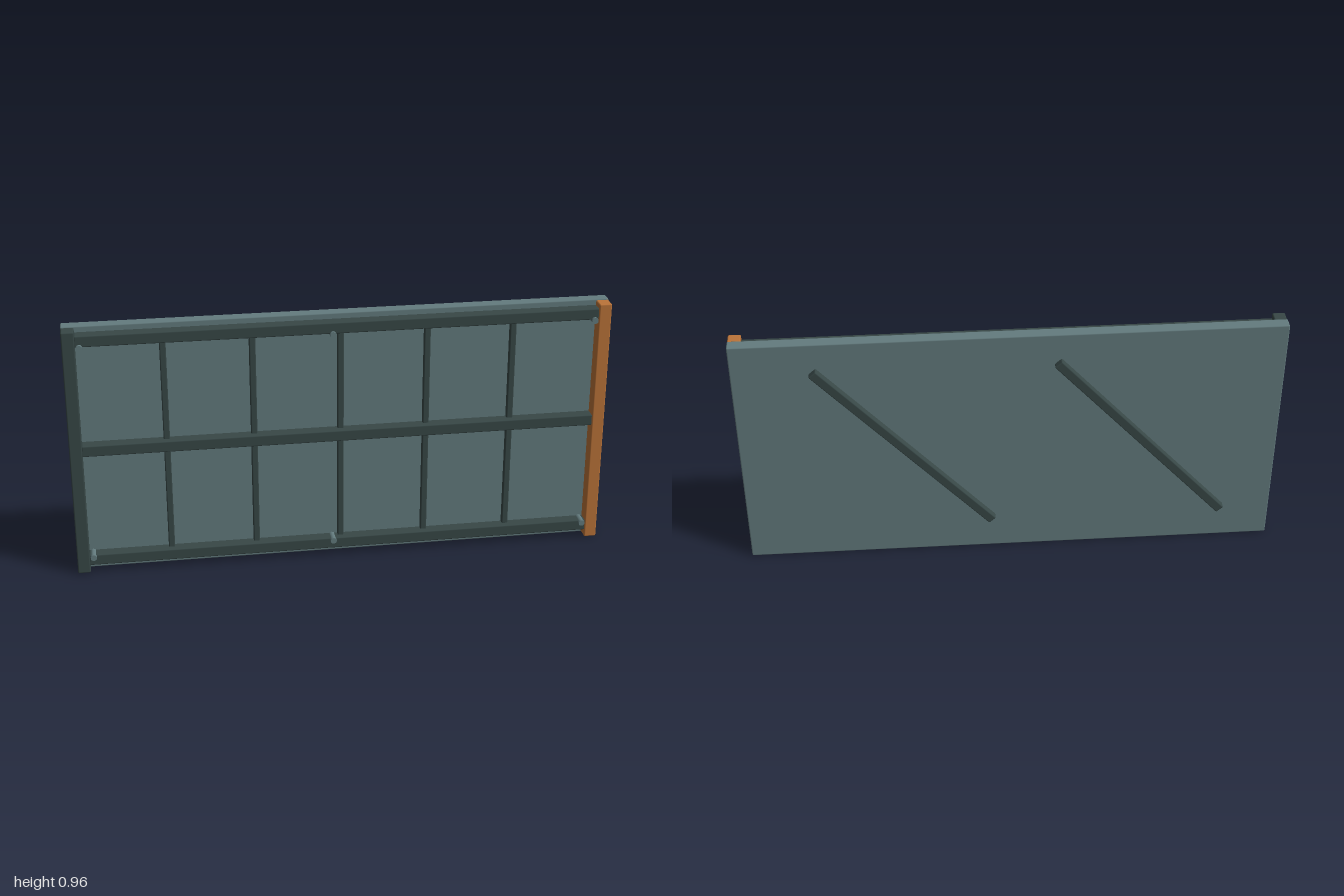
import * as THREE from 'three';
import { RoundedBoxGeometry } from 'three/addons/geometries/RoundedBoxGeometry.js';

const material = (name, color) => {
  const m = new THREE.MeshStandardMaterial({ color });
  m.name = name;
  return m;
};

export function createModel() {
  const group = new THREE.Group();
  const panelColor = material('greyTeal', 0x647c7f);
  const frameColor = material('darkSteel', 0x384847);
  const accentColor = material('copperOrange', 0xbc7439);

  // Softly bevelled bar given by its centre and its front and back z
  const bar = (name, mat, x, y, w, h, back, front, bevel = 0.005) => {
    const mesh = new THREE.Mesh(new RoundedBoxGeometry(w, h, front - back, 1, bevel), mat);
    mesh.position.set(x, y, (back + front) / 2);
    mesh.name = name;
    group.add(mesh);
    return mesh;
  };

  // Main sheet
  bar('panel', panelColor, 0, 0.483, 2, 0.965, -0.036, 0.01);

  // End posts
  bar('rightPost', frameColor, -0.976, 0.482, 0.047, 0.958, 0.005, 0.059);
  bar('leftPost', accentColor, 0.976, 0.482, 0.047, 0.958, 0.005, 0.059);

  // Horizontal rails
  for (const y of [0.052, 0.497, 0.922]) {
    bar('rail', frameColor, 0, y, 1.91, 0.043, 0.005, 0.053);
  }

  // Slim upright ribs
  for (let i = -2; i <= 2; i++) {
    bar('rib', frameColor, -0.003 + i * 0.321, 0.487, 0.023, 0.86, 0.005, 0.03, 0.004);
  }

  // Bolts along the top and bottom rails
  const boltGeometry = new THREE.CylinderGeometry(0.012, 0.012, 0.055, 10).rotateX(Math.PI / 2);
  for (const x of [-0.938, -0.035, 0.938]) {
    for (const y of [0.066, 0.9]) {
      const bolt = new THREE.Mesh(boltGeometry, panelColor);
      bolt.position.set(x, y, 0.036);
      bolt.name = 'bolt';
      group.add(bolt);
    }
  }

  // Diagonal braces on the back
  for (const x of [-0.488, 0.39]) {
    const brace = bar('backBrace', frameColor, x, 0.497, 0.955, 0.036, -0.06, -0.03);
    brace.rotation.z = 0.84;
  }

  return group;
}
